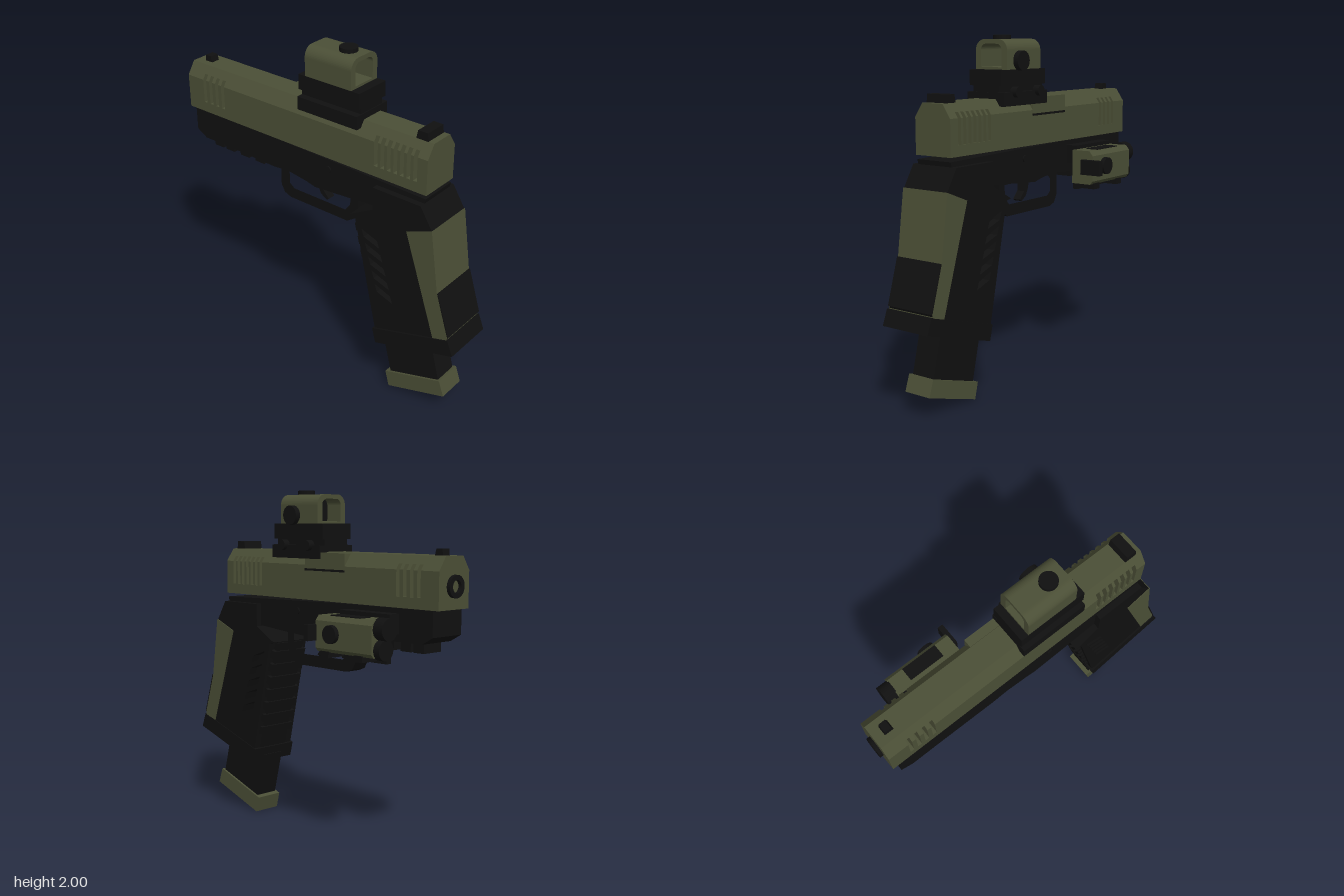
import * as THREE from 'three';

const olive = new THREE.MeshStandardMaterial({ color: 0x4b4f36 });
olive.name = 'olive';
const black = new THREE.MeshStandardMaterial({ color: 0x101010 });
black.name = 'black';
const CX = -0.12; // centre plane of the main body

export function createModel() {
  const root = new THREE.Group();

  const add = (name, geo, mat) => {
    const m = new THREE.Mesh(geo, mat);
    m.name = name;
    root.add(m);
    return m;
  };
  const toShape = (pts) => new THREE.Shape(pts.map(([a, b]) => new THREE.Vector2(a, b)));
  // Side profile in (z, y), extruded from x0 to x1
  const sideGeo = (pts, x0, x1, holes = []) => {
    const s = toShape(pts);
    holes.forEach((h) => s.holes.push(toShape(h)));
    return new THREE.ExtrudeGeometry(s, { depth: x1 - x0, bevelEnabled: false })
      .rotateY(-Math.PI / 2).translate(x1, 0, 0);
  };
  const side = (name, mat, x0, x1, pts, holes) => add(name, sideGeo(pts, x0, x1, holes), mat);
  const box = (name, mat, x0, x1, y0, y1, z0, z1) =>
    add(name, new THREE.BoxGeometry(x1 - x0, y1 - y0, z1 - z0)
      .translate((x0 + x1) / 2, (y0 + y1) / 2, (z0 + z1) / 2), mat);
  const cyl = (name, mat, axis, r, len, x, y, z) => {
    const g = new THREE.CylinderGeometry(r, r, len, 24);
    if (axis === 'x') g.rotateZ(Math.PI / 2);
    if (axis === 'z') g.rotateX(Math.PI / 2);
    return add(name, g.translate(x, y, z), mat);
  };

  // Slide: straight lower half and tapered upper half, both notched by the slots
  const slots = [];
  for (let i = 3; i >= 0; i--) slots.push([-0.827 + (3 - i) * 0.048, 0.024]);
  for (let i = 0; i < 7; i++) slots.push([0.423 + i * 0.0415, 0.024]);
  const zF = -0.96, zR = 0.745, yMid = 1.58;
  const lower = [[zR, yMid], [zR, 1.38], [zF, 1.38], [zF, yMid]];
  const upper = [[zR, yMid], [zR, 1.655], [zF, 1.655], [zF, yMid]];
  for (const [z, w] of slots) {
    const a = z - w / 2, b = z + w / 2;
    lower.push([a, yMid], [a, 1.44], [b, 1.44], [b, yMid]);
    upper.push([a, yMid], [a, 1.61], [b, 1.61], [b, yMid]);
  }
  side('slideLower', olive, -0.24, 0, lower);
  const top = sideGeo(upper, -0.24, 0);
  const p = top.attributes.position;
  for (let i = 0; i < p.count; i++) {
    const t = (p.getY(i) - yMid) / 0.075;
    p.setX(i, CX + (p.getX(i) - CX) * (1 - 0.42 * t));
  }
  top.computeVertexNormals();
  add('slideUpper', top, olive);

  // Barrel visible through the front slots, and the muzzle ring
  cyl('barrel', black, 'z', 0.06, 0.28, CX, 1.5, -0.76);
  const ring = new THREE.Shape().absarc(0, 0, 0.06, 0, Math.PI * 2);
  ring.holes.push(new THREE.Path().absarc(0, 0, 0.034, 0, Math.PI * 2));
  add('muzzleRing', new THREE.ExtrudeGeometry(ring, { depth: 0.03, bevelEnabled: false, curveSegments: 16 })
    .translate(CX, 1.5, -0.98), black);

  // Side port and iron sights
  box('sidePort', olive, -0.06, 0.002, 1.56, 1.652, -0.29, 0.03);
  box('sidePortEdge', black, -0.04, 0.004, 1.548, 1.56, -0.29, 0.03);
  side('rearSight', black, -0.19, -0.055, [[0.71, 1.65], [0.705, 1.7], [0.645, 1.7], [0.635, 1.65]]);
  side('frontSight', black, -0.148, -0.094, [[-0.85, 1.65], [-0.86, 1.69], [-0.9, 1.69], [-0.905, 1.65]]);

  // Frame under the slide
  side('frame', black, -0.235, -0.005, [
    [0.74, 1.357], [0.73, 1.31], [0.66, 1.2], [0.43, 1.2], [0.2, 1.18], [0, 1.165], [-0.06, 1.18],
    [-0.2, 1.2], [-0.3, 1.19], [-0.69, 1.2], [-0.85, 1.2], [-0.92, 1.24], [-0.92, 1.379], [-0.3, 1.377],
  ]);
  box('frameSpine', black, -0.2, -0.04, 1.36, 1.39, -0.9, -0.27);
  for (const z of [-0.79, -0.7, -0.58, -0.46])
    box('railTooth', black, -0.19, -0.05, 1.145, 1.21, z - 0.035, z + 0.035);
  cyl('framePin', black, 'x', 0.02, 0.245, CX, 1.31, 0.1);

  // Trigger guard and trigger
  side('triggerGuard', black, -0.17, -0.07, [
    [0.255, 1.19], [0.255, 1.08], [0.235, 1.02], [0.18, 0.983], [-0.24, 0.983], [-0.285, 1.0], [-0.31, 1.045], [-0.31, 1.2],
  ], [[
    [0.205, 1.165], [0.2, 1.095], [0.165, 1.05], [-0.21, 1.05], [-0.243, 1.075], [-0.245, 1.15], [-0.2, 1.185], [0, 1.175],
  ]]);
  side('trigger', black, -0.145, -0.095, [
    [-0.06, 1.2], [-0.055, 1.12], [-0.03, 1.07], [0.01, 1.045], [0.025, 1.055], [-0.015, 1.1], [-0.02, 1.2],
  ]);

  // Grip with slanted openings; the upper ones are backed by a core
  const openings = [];
  for (let i = 0; i < 5; i++) {
    const z = 0.515 - i * 0.024, y = 0.69 + i * 0.08;
    openings.push([[z + 0.062, y - 0.04], [z + 0.046, y + 0.003], [z - 0.06, y + 0.04], [z - 0.044, y - 0.006]]);
  }
  side('grip', black, -0.27, 0.028, [
    [0.735, 1.33], [0.81, 1.21], [0.86, 0.85], [0.945, 0.6], [0.93, 0.56], [0.465, 0.42],
    [0.315, 1.1], [0.275, 1.11], [0.43, 1.195], [0.43, 1.33],
  ], openings);
  side('gripCore', black, -0.22, -0.02, [[0.58, 0.865], [0.38, 0.865], [0.33, 1.09], [0.52, 1.09]]);
  const frontZ = (y) => 0.28 + (1.1 - y) * 0.255;
  side('frontStrap', black, -0.22, -0.02, [
    [frontZ(1.1) + 0.008, 1.1], [frontZ(0.4) + 0.008, 0.4], [frontZ(0.4) + 0.07, 0.42], [frontZ(1.1) + 0.07, 1.1],
  ]);
  for (let i = 0; i < 7; i++) {
    const y = 1.05 - i * 0.08;
    side('gripRib', black, -0.245, 0.005, [
      [frontZ(y), y], [frontZ(y - 0.045), y - 0.045], [frontZ(y) + 0.06, y - 0.03], [frontZ(y) + 0.05, y + 0.015],
    ]);
  }
  side('gripFlange', black, -0.28, 0.032, [[0.95, 0.585], [0.985, 0.497], [0.474, 0.34], [0.451, 0.43]]);

  // Backstrap, its lower rear face covered by a thin dark plate
  side('backstrap', olive, -0.274, 0.032, [
    [0.813, 1.212], [0.655, 1.15], [0.852, 0.553], [0.94, 0.58], [0.94, 0.61], [0.864, 0.85],
  ]);
  side('backstrapPlate', black, -0.274, 0.032, [[0.865, 0.85], [0.941, 0.605], [0.949, 0.6], [0.871, 0.852]]);

  // Magazine and its base
  side('magazine', black, -0.195, -0.05, [[0.79, 0.46], [0.86, 0.19], [0.53, 0.1], [0.46, 0.38]]);
  side('magazineBase', olive, -0.208, -0.037, [[0.87, 0.218], [0.902, 0.125], [0.525, 0.003], [0.5, 0.098]]);

  // Sight mount: foot, waist and top deck with clamp screws
  box('mountFoot', black, -0.25, 0.008, 1.615, 1.69, -0.1, 0.305);
  box('mountWaist', black, -0.21, -0.03, 1.69, 1.74, -0.1, 0.3);
  box('mountDeck', black, -0.232, -0.01, 1.725, 1.812, -0.105, 0.305);
  for (const z of [-0.01, 0.2]) cyl('mountScrew', black, 'x', 0.03, 0.04, 0.012, 1.69, z);

  // Reflex sight: rounded hood open at both ends, with a dark pane
  const hood = (x0, x1, y0, y1, r) => {
    const s = new THREE.Shape();
    s.moveTo(x0, y0);
    s.lineTo(x1, y0);
    s.lineTo(x1, y1 - r);
    s.absarc(x1 - r, y1 - r, r, 0, Math.PI / 2);
    s.absarc(x0 + r, y1 - r, r, Math.PI / 2, Math.PI);
    s.closePath();
    return s;
  };
  const shell = hood(-0.23, -0.012, 1.805, 1.977, 0.06);
  shell.holes.push(hood(-0.195, -0.05, 1.825, 1.952, 0.035));
  add('sightHood', new THREE.ExtrudeGeometry(shell, { depth: 0.31, bevelEnabled: false, curveSegments: 6 })
    .translate(0, 0, -0.06), olive);
  box('sightPane', black, -0.2, -0.045, 1.82, 1.955, 0.05, 0.058);
  cyl('sightTopKnob', black, 'y', 0.05, 0.04, -0.124, 1.98, 0.15);
  cyl('sightSideKnob', black, 'x', 0.055, 0.05, -0.005, 1.86, 0.14);

  // Side light with mount, twin lenses, controls and feet
  box('lightMount', black, -0.02, 0.07, 1.24, 1.35, -0.69, -0.32);
  box('lightClamp', black, 0.03, 0.065, 1.085, 1.3, -0.67, -0.34);
  const body = toShape([[0.065, 1.13], [0.19, 1.13], [0.208, 1.15], [0.208, 1.3], [0.185, 1.328], [0.065, 1.328]]);
  add('lightBody', new THREE.ExtrudeGeometry(body, { depth: 0.415, bevelEnabled: false })
    .translate(0, 0, -0.695), olive);
  box('lightTopPanel', black, 0.105, 0.184, 1.326, 1.333, -0.59, -0.37);
  for (const [y, r, len] of [[1.28, 0.06, 0.07], [1.17, 0.055, 0.045]])
    cyl('lightLens', black, 'z', r, len, 0.14, y, -0.69 - len / 2);
  cyl('lightSideButton', black, 'x', 0.05, 0.03, 0.22, 1.233, -0.408);
  box('lightSwitch', black, 0.14, 0.272, 1.19, 1.277, -0.285, -0.252);
  for (const z of [-0.34, -0.59]) box('lightFoot', black, 0.08, 0.2, 1.1, 1.135, z - 0.03, z + 0.03);

  return root;
}
